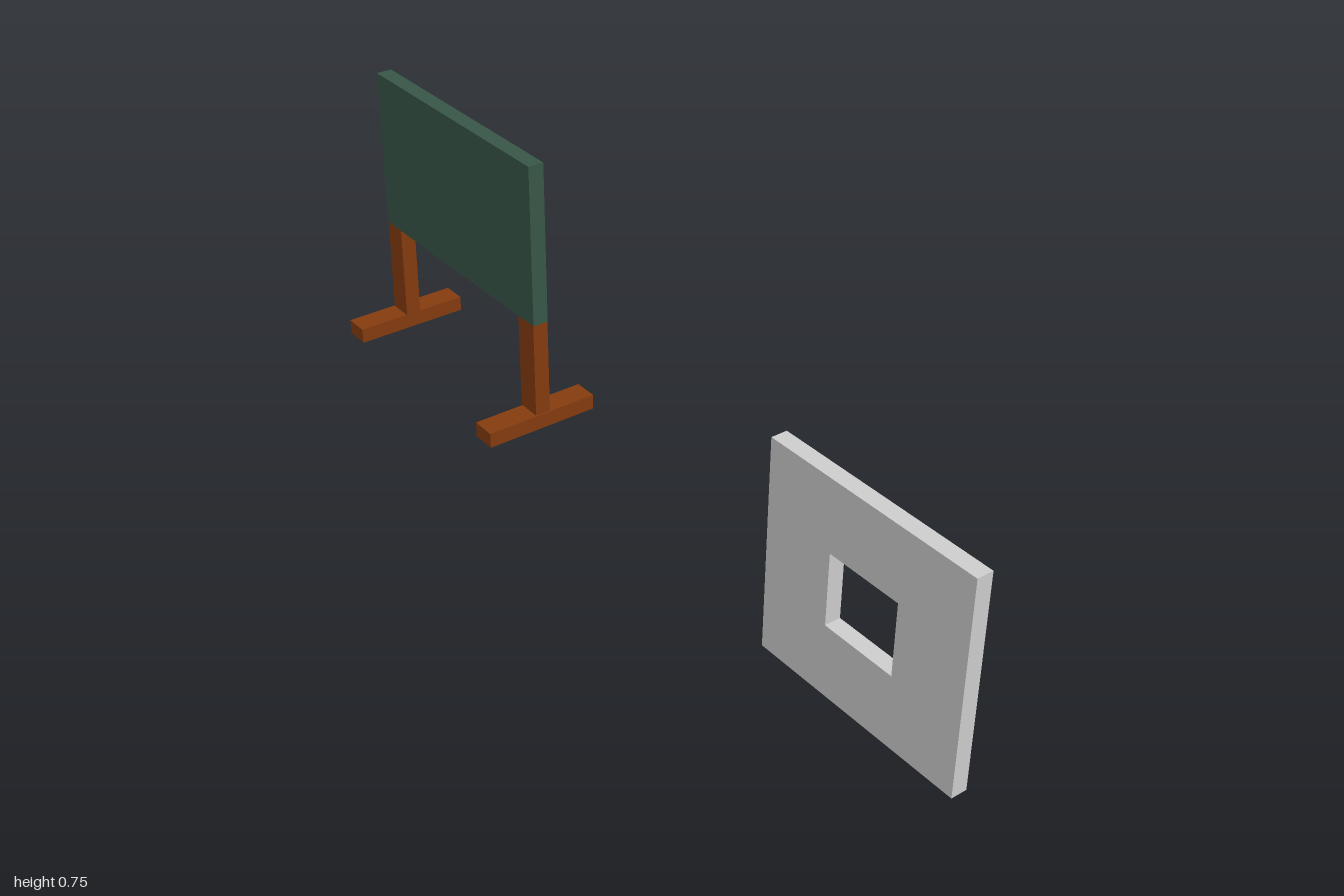
import * as THREE from 'three';

const mat = (name, color) => {
  const m = new THREE.MeshStandardMaterial({ color });
  m.name = name;
  return m;
};

export function createModel() {
  const group = new THREE.Group();
  const wood = mat('brown wood', 0x843b0e);
  const green = mat('board green', 0x375648);
  const grey = mat('light grey', 0xcccccc);

  // Box given by its lower and upper limits on each axis
  const box = (name, material, [x0, x1], [y0, y1], [z0, z1]) => {
    const mesh = new THREE.Mesh(new THREE.BoxGeometry(x1 - x0, y1 - y0, z1 - z0), material);
    mesh.position.set((x0 + x1) / 2, (y0 + y1) / 2, (z0 + z1) / 2);
    mesh.name = name;
    group.add(mesh);
  };

  const thick = [-0.016, 0.022];

  // Board with its chalk ledge
  box('board', green, thick, [0.367, 0.755], [-1, -0.358]);
  box('chalkLedge', wood, [0.022, 0.071], [0.343, 0.365], [-0.793, -0.51]);

  // Legs on crosswise feet
  box('frontLeg', wood, thick, [0.132, 0.367], [-0.419, -0.359]);
  box('backLeg', wood, thick, [0.132, 0.367], [-0.998, -0.938]);
  box('frontFoot', wood, [-0.142, 0.141], [0.095, 0.132], [-0.416, -0.356]);
  box('backFoot', wood, [-0.142, 0.141], [0.095, 0.132], [-1, -0.94]);

  // Wall panel with a window opening, drawn in (-z, y) and turned to face +x
  const rect = (Type, z0, z1, y0, y1) => new Type([
    [-z1, y0], [-z0, y0], [-z0, y1], [-z1, y1],
  ].map(([a, b]) => new THREE.Vector2(a, b)));
  const shape = rect(THREE.Shape, 0.457, 1, 0, 0.503);
  shape.holes.push(rect(THREE.Path, 0.637, 0.822, 0.168, 0.338));
  const geo = new THREE.ExtrudeGeometry(shape, { depth: thick[1] - thick[0], bevelEnabled: false });
  geo.rotateY(Math.PI / 2).translate(thick[0], 0, 0);
  const wall = new THREE.Mesh(geo, grey);
  wall.name = 'wallPanel';
  group.add(wall);

  return group;
}
